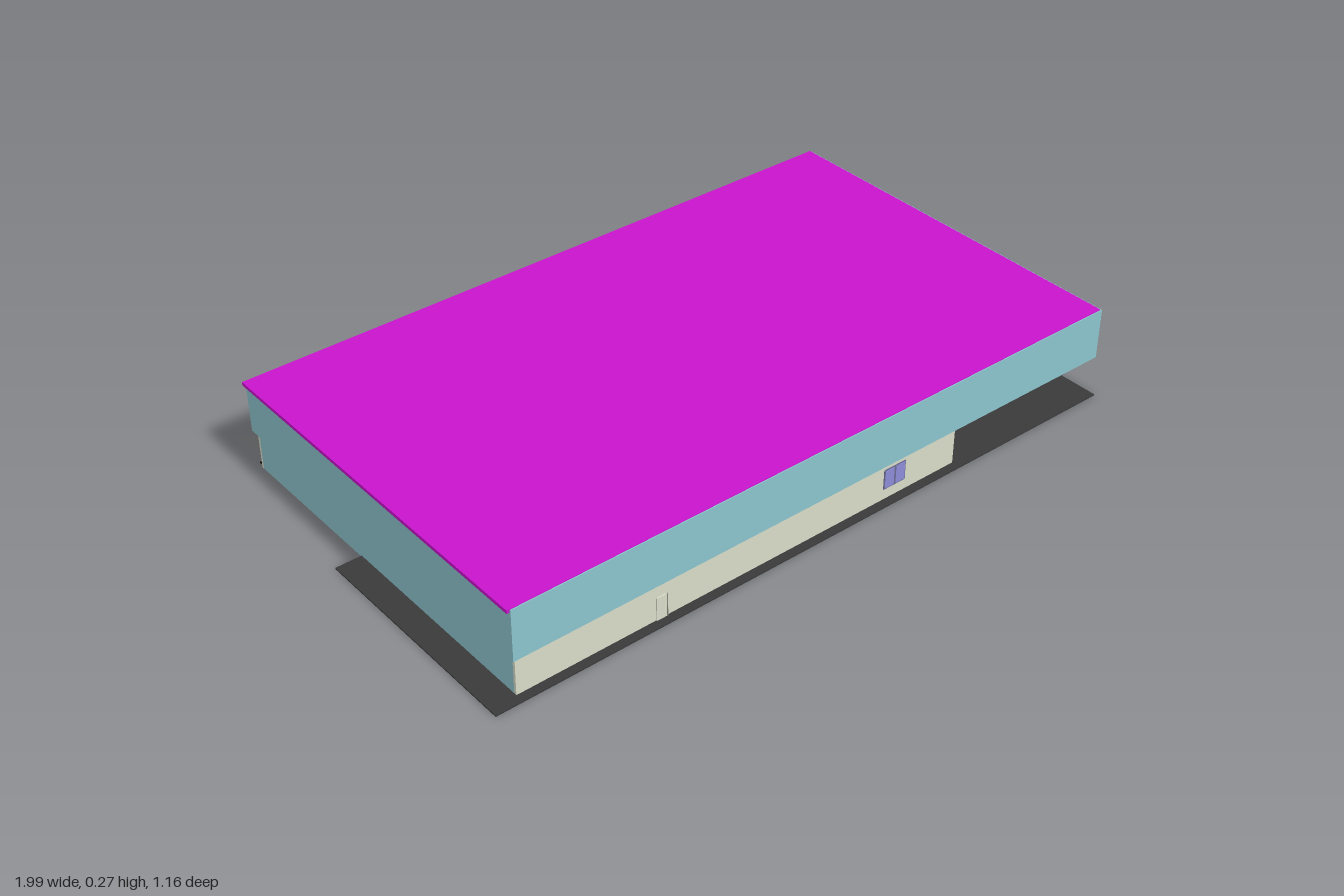
import * as THREE from 'three';

const mat = (color) => new THREE.MeshStandardMaterial({ color, side: THREE.DoubleSide });
const M = {
  wall: mat(0xd9dcc8), teal: mat(0x8cc4cc), roof: mat(0xc814cc), slab: mat(0x3a3a3a),
  black: mat(0x0a0a0a), glass: mat(0x8c8cd8), frame: mat(0x6a6a90), brown: mat(0xb98a70),
  cyan: mat(0x3fb8b8), grey: mat(0x85857c),
};

export function createModel() {
  const model = new THREE.Group();
  const WALL_TOP = 0.115, TOP = 0.265;

  // Box given by its lower and upper corners
  const box = (name, m, [x0, y0, z0], [x1, y1, z1]) => {
    const mesh = new THREE.Mesh(new THREE.BoxGeometry(x1 - x0, y1 - y0, z1 - z0), m);
    mesh.position.set((x0 + x1) / 2, (y0 + y1) / 2, (z0 + z1) / 2);
    mesh.name = name;
    model.add(mesh);
    return mesh;
  };

  // Upright panel between two plan points (x, z)
  const panel = (name, m, a, b, y0, y1, t = 0.008) => {
    const dx = b[0] - a[0], dz = b[1] - a[1];
    const mesh = new THREE.Mesh(new THREE.BoxGeometry(Math.hypot(dx, dz), y1 - y0, t), m);
    mesh.position.set((a[0] + b[0]) / 2, (y0 + y1) / 2, (a[1] + b[1]) / 2);
    mesh.rotation.y = -Math.atan2(dz, dx);
    mesh.name = name;
    model.add(mesh);
    return mesh;
  };

  // Floor slabs
  box('frontFloor', M.slab, [-1, 0, -0.09], [0.985, 0.004, 0.58]);
  box('backRightFloor', M.slab, [0.1, 0, -0.585], [0.985, 0.004, -0.09]);
  box('backMiddleFloor', M.slab, [-0.24, 0, -0.255], [0.1, 0.004, -0.09]);
  box('darkFloor', M.black, [-0.92, 0, -0.585], [0.1, 0.004, -0.255]);
  box('darkFloorCorner', M.black, [-0.92, 0, -0.255], [-0.24, 0.004, -0.09]);

  // Outer walls
  panel('frontWall', M.wall, [-0.925, 0.551], [0.465, 0.551], 0, WALL_TOP);
  panel('backWall', M.wall, [-0.925, -0.561], [0.98, -0.561], 0, WALL_TOP);
  panel('rightSideWall', M.teal, [-0.921, -0.565], [-0.921, 0.555], 0, WALL_TOP);
  panel('leftSideWall', M.teal, [0.976, -0.565], [0.976, -0.08], 0, WALL_TOP);

  // Recessed porch: straight return, rounded wall, slanted wall, back wall
  const H = 0.255;
  panel('porchReturn', M.wall, [0.461, 0.555], [0.461, 0.3], 0, H);
  const curve = new THREE.Mesh(
    new THREE.CylinderGeometry(1, 1, H, 24, 1, true, 0, Math.PI / 2), M.wall);
  curve.scale.set(0.305, 1, 0.33);
  curve.position.set(0.465, H / 2, -0.03);
  curve.name = 'porchCurvedWall';
  model.add(curve);
  panel('porchSlantedWall', M.grey, [0.77, -0.03], [0.85, -0.08], 0, H);
  panel('porchBackWall', M.wall, [0.85, -0.084], [0.98, -0.084], 0, H);

  // Fascia band around the roof
  box('frontFascia', M.teal, [-0.935, WALL_TOP, 0.557], [0.99, TOP, 0.565]);
  box('backFascia', M.teal, [-0.935, WALL_TOP, -0.575], [0.99, TOP, -0.567]);
  box('rightFascia', M.teal, [-0.935, WALL_TOP, -0.567], [-0.927, TOP, 0.557]);
  box('leftFascia', M.teal, [0.982, WALL_TOP, -0.567], [0.99, TOP, 0.557]);

  // Flat roof
  box('roof', M.roof, [-0.943, 0.257, -0.578], [0.986, TOP + 0.002, 0.562]);

  // Doors
  const DOOR = 0.072;
  panel('frontDoor', M.wall, [-0.52, 0.554], [-0.487, 0.554], 0.004, DOOR);
  panel('frontDoorEdge', M.grey, [-0.49, 0.555], [-0.487, 0.555], 0.004, DOOR);
  const onCurve = (x) => [x, -0.03 + 0.332 * Math.sqrt(1 - ((x - 0.465) / 0.305) ** 2)];
  panel('porchDoorLeft', M.cyan, onCurve(0.497), onCurve(0.535), 0.004, DOOR);
  panel('porchDoorRight', M.brown, onCurve(0.545), onCurve(0.58), 0.004, DOOR);
  panel('slantedWallDoor', M.wall, [0.774, -0.03], [0.796, -0.0438], 0.004, DOOR);
  panel('porchBackDoor', M.brown, [0.852, -0.081], [0.884, -0.081], 0.004, DOOR);
  panel('sideDoor', M.brown, [0.978, -0.18], [0.978, -0.225], 0.004, DOOR);
  panel('sideDoorLeaf', M.teal, [0.978, -0.16], [0.978, -0.18], 0.004, DOOR);

  // Windows: two panes beside each other with a thin frame behind
  const windowPair = (name, x, y, w, h, gap, z, out) => {
    for (const s of [-1, 1]) {
      const cx = x + (s * (w + gap)) / 2;
      panel(name + 'Frame', M.frame, [cx - w / 2, z], [cx + w / 2, z], y - h / 2, y + h / 2);
      panel(name + 'Pane', M.glass, [cx - w / 2 + 0.003, z + out], [cx + w / 2 - 0.003, z + out],
        y - h / 2 + 0.003, y + h / 2 - 0.003);
    }
  };
  windowPair('frontWindow', 0.252, 0.066, 0.037, 0.06, 0, 0.553, 0.001);
  windowPair('backTallWindow', -0.32, 0.064, 0.03, 0.06, 0, -0.563, -0.001);
  for (const x of [-0.037, -0.505, -0.67, -0.83])
    windowPair('backWindow', x, 0.06, 0.037, 0.036, 0.014, -0.563, -0.001);

  return model;
}
